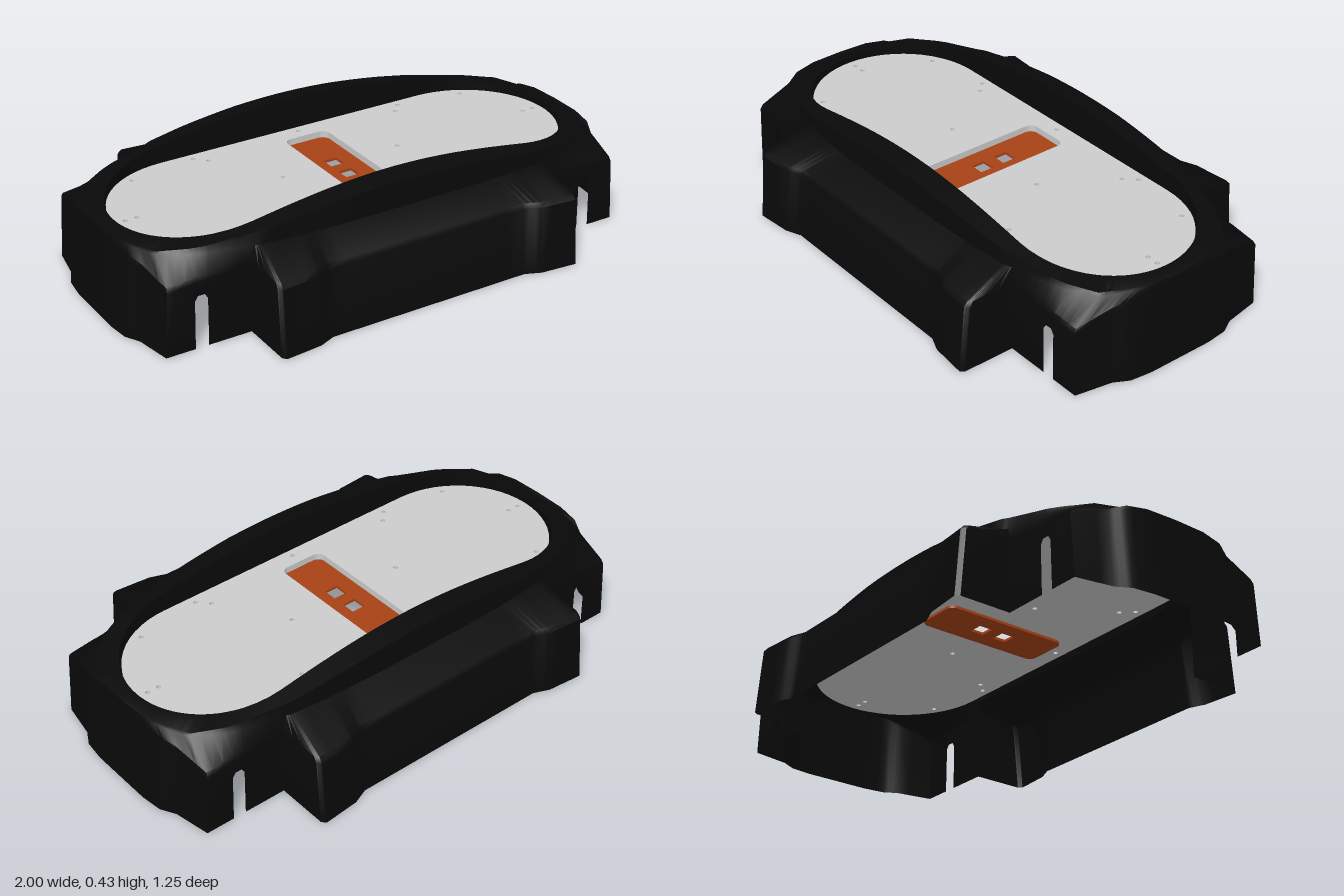
import * as THREE from 'three';
import { toCreasedNormals } from 'three/addons/utils/BufferGeometryUtils.js';

const black = new THREE.MeshStandardMaterial({ color: 0x090909, side: THREE.DoubleSide });
const grey = new THREE.MeshStandardMaterial({ color: 0xcccccc });
const orange = new THREE.MeshStandardMaterial({ color: 0xa84216 });

const DECK_Y = 0.308, STRAIGHT = 0.56;

// Arched height of the rim along the length
const rimHeight = (x) => 0.322 + 0.108 * Math.pow(Math.cos(x * Math.PI / 2), 1.6);

// Quarter of the deck opening: straight up to STRAIGHT, then an elliptical end
function opening(s, inset = 0) {
  if (s <= STRAIGHT) return [s, 0.34 - inset];
  const a = s - STRAIGHT;
  return [STRAIGHT + (0.35 - inset) * Math.sin(a), (0.34 - inset) * Math.cos(a)];
}

// Quarter plan: wall x, wall z, wall bottom y, wall top y, ridge x, ridge z, opening parameter
const slotX = (x, y, rx, rz, s) => [x, 0.41, y, 0.26, rx, rz, s];
const quarter = [
  [0, 0.587, 0, 0.262, 0, 0.425, 0],
  [0.2, 0.587, 0, 0.262, 0.2, 0.425, 0.2],
  [0.40, 0.587, 0, 0.262, 0.36, 0.42, 0.38],
  [0.46, 0.612, 0, 0.262, 0.43, 0.417, 0.45],
  [0.60, 0.625, 0, 0.262, 0.56, 0.405, 0.53],
  [0.612, 0.61, 0, 0.262, 0.57, 0.402, 0.54],
  [0.612, 0.41, 0, 0.275, 0.59, 0.395, 0.56],
  slotX(0.775, 0, 0.74, 0.36, 0.95),
  slotX(0.775, 0.18, 0.74, 0.36, 0.95),
  slotX(0.787, 0.198, 0.757, 0.354, 0.99),
  slotX(0.813, 0.198, 0.783, 0.343, 1.04),
  slotX(0.825, 0.18, 0.80, 0.335, 1.08),
  slotX(0.825, 0, 0.80, 0.335, 1.08),
  [0.935, 0.41, 0, 0.25, 0.89, 0.28, 1.4],
  [0.96, 0.27, 0, 0.285, 0.925, 0.2, 1.65],
  [0.99, 0.215, 0, 0.305, 0.945, 0.14, 1.82],
  [1, 0.13, 0, 0.317, 0.95, 0.08, 1.97],
  [1, 0, 0, 0.32, 0.955, 0, STRAIGHT + Math.PI / 2],
];

// Section of the shell from the wall foot up over the ridge and down to the deck
function section([x, z, y0, y1, rx, rz, s]) {
  const tx = x - 0.025 * x ** 8;
  const tz = z - 0.022 * THREE.MathUtils.smoothstep(z, 0.41, 0.55);
  const k = y0 / y1;
  const [ix, iz] = opening(s);
  const top = rimHeight(rx);
  return [
    [x + (tx - x) * k, y0, z + (tz - z) * k],
    [tx, y1 - 0.012, tz],
    // Softened shoulder
    [tx + (rx - tx) * 0.08, y1 + 0.005, tz + (rz - tz) * 0.08],
    [rx + 0.006, Math.min(0.32, top - 0.002), rz + 0.006 * Math.sign(rz)],
    [rx, top - 0.012 * (top - 0.32) / 0.11, rz],
    [ix, rimHeight(ix), iz],
    [ix, DECK_Y - 0.01, iz],
  ];
}

function shellGeometry() {
  const fine = [];
  const SUB = 3;
  for (let i = 0; i < quarter.length - 1; i++) {
    for (let j = 0; j < SUB; j++) {
      fine.push(quarter[i].map((v, c) => v + (quarter[i + 1][c] - v) * j / SUB));
    }
  }
  fine.push(quarter[quarter.length - 1]);

  // Mirror the quarter into a full loop
  const sections = fine.map(section);
  const loop = [];
  for (const [sx, sz] of [[1, 1], [1, -1], [-1, -1], [-1, 1]]) {
    const q = sections.map((sec) => sec.map(([x, y, z]) => [x * sx, y, z * sz]));
    if (sx * sz < 0) q.reverse();
    loop.push(...q.slice(0, -1));
  }
  const rows = sections[0].length, n = loop.length, index = [];
  for (let i = 0; i < n; i++) {
    for (let r = 0; r < rows - 1; r++) {
      const a = i * rows + r, b = ((i + 1) % n) * rows + r;
      index.push(a, b, b + 1, a, b + 1, a + 1);
    }
  }
  const g = new THREE.BufferGeometry();
  g.setAttribute('position', new THREE.Float32BufferAttribute(loop.flat(2), 3));
  g.setIndex(index);
  return toCreasedNormals(g, 0.6);
}

function roundedRect(target, hw, hh, r) {
  target.moveTo(-hw + r, -hh);
  target.lineTo(hw - r, -hh);
  target.absarc(hw - r, -hh + r, r, -Math.PI / 2, 0);
  target.absarc(hw - r, hh - r, r, 0, Math.PI / 2);
  target.absarc(-hw + r, hh - r, r, Math.PI / 2, Math.PI);
  target.absarc(-hw + r, -hh + r, r, Math.PI, Math.PI * 1.5);
  return target;
}

// Flat sheet lying in the xz plane with its top at the given height
function sheet(name, shape, top, depth, material) {
  const g = new THREE.ExtrudeGeometry(shape, { depth, bevelEnabled: false, curveSegments: 8 });
  g.rotateX(-Math.PI / 2).translate(0, top - depth, 0);
  const mesh = new THREE.Mesh(g, material);
  mesh.name = name;
  return mesh;
}

function deckShape() {
  const q = [];
  for (let i = 0; i <= 14; i++) q.push(opening(STRAIGHT + i / 14 * Math.PI / 2, 0.007));
  const half = [...q.map(([x, z]) => [x, -z]), ...q.slice(0, -1).reverse()];
  const outline = [...half, ...half.map(([x, z]) => [-x, -z])];
  const shape = new THREE.Shape(outline.map(([x, z]) => new THREE.Vector2(x, z)));
  shape.holes.push(roundedRect(new THREE.Path(), 0.09, 0.255, 0.03));
  // Screw holes, mirrored about both axes
  for (const [x, z] of [[0.865, 0], [0.82, 0], [0.71, 0.26], [0.445, 0.3], [0.405, 0.258], [0, 0.3], [0.243, 0]]) {
    for (const sx of x ? [1, -1] : [1]) {
      for (const sz of z ? [1, -1] : [1]) {
        shape.holes.push(new THREE.Path().absarc(x * sx, z * sz, 0.009, 0, Math.PI * 2));
      }
    }
  }
  return shape;
}

function trayShape() {
  const shape = roundedRect(new THREE.Shape(), 0.091, 0.256, 0.03);
  for (const s of [1, -1]) {
    const c = s * 0.051, h = 0.027;
    shape.holes.push(new THREE.Path([[-h, c - h], [h, c - h], [h, c + h], [-h, c + h]]
      .map(([x, y]) => new THREE.Vector2(x, y))));
  }
  return shape;
}

export function createModel() {
  const model = new THREE.Group();
  model.name = 'coveredChassis';
  const shell = new THREE.Mesh(shellGeometry(), black);
  shell.name = 'outerShell';
  model.add(shell);
  model.add(sheet('deckPlate', deckShape(), DECK_Y, 0.025, grey));
  model.add(sheet('centreTray', trayShape(), DECK_Y - 0.025, 0.01, orange));
  return model;
}
